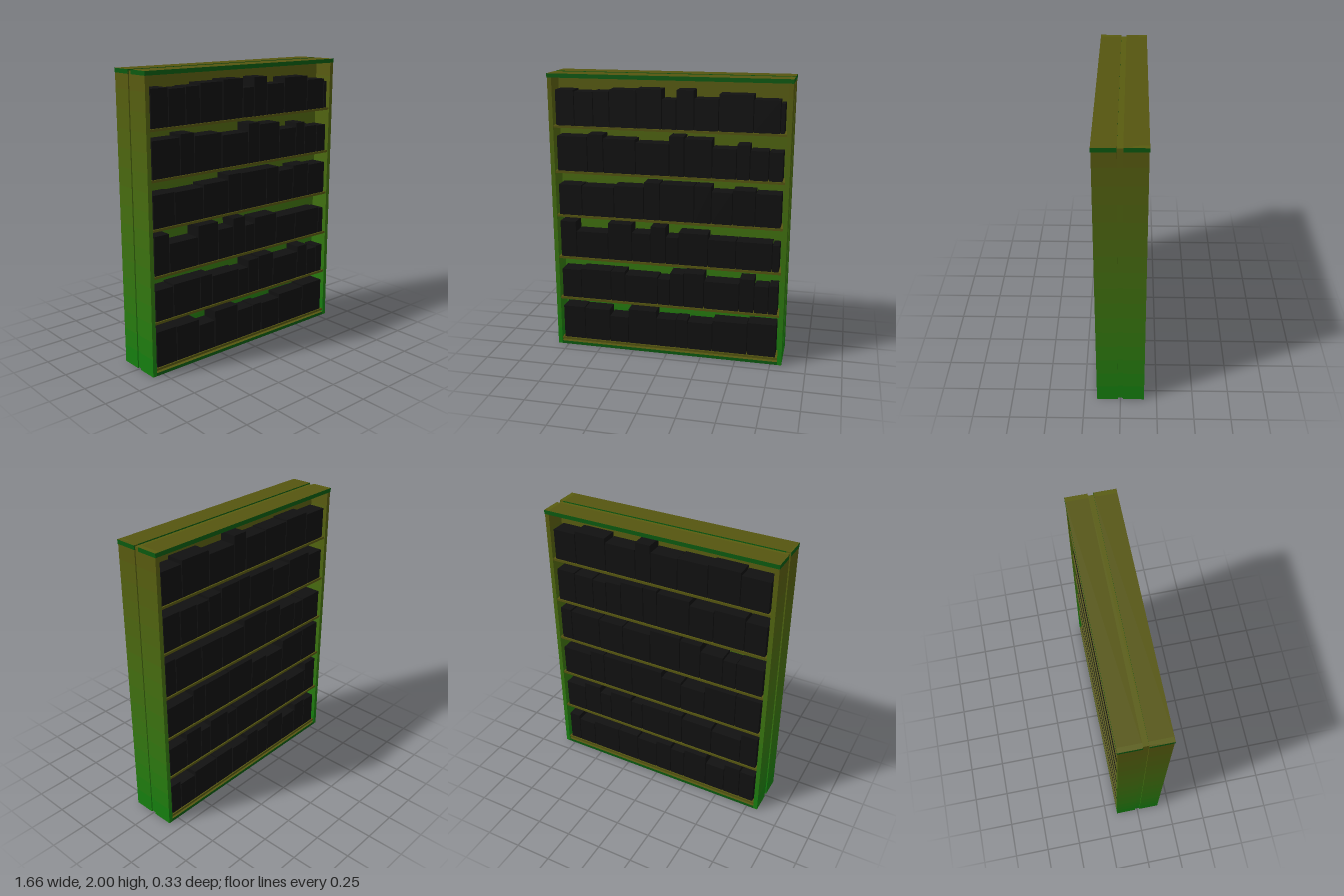
import * as THREE from 'three';

const OLIVE = new THREE.Color(0x5a5a10);
const GREEN = new THREE.Color(0x0f800f);
const mat = (color) => new THREE.MeshStandardMaterial({ color });
const olive = mat(0x555510), green = mat(0x0b5a10), dark = mat(0x111111);
// Material order of a box: +x, -x, +y, -y, +z, -z
const boardMats = [olive, olive, olive, green, olive, olive];
const rimMats = [green, green, olive, green, green, green];

// Shelf levels (top surface), lowest first
const LEVELS = [0.05, 0.375, 0.69, 1.005, 1.325, 1.645];

// Book rows, lowest first: block edges along x and block top heights
const ROWS = [
  [[-.785, -.62, -.43, -.29, -.08, .065, .15, .33, .58, .785],
    [.30, .295, .25, .315, .265, .27, .26, .285, .295]],
  [[-.785, -.64, -.415, -.31, -.07, .02, .12, .265, .515, .62, .72, .785],
    [.59, .60, .60, .58, .57, .62, .63, .58, .62, .575, .585]],
  [[-.785, -.665, -.43, -.255, -.12, -.01, .08, .29, .485, .735, .785],
    [.955, .885, .96, .90, .955, .885, .925, .89, .89, .88]],
  [[-.785, -.615, -.38, -.165, -.05, .19, .31, .455, .61, .785],
    [1.225, 1.22, 1.235, 1.27, 1.265, 1.265, 1.23, 1.25, 1.235]],
  [[-.785, -.565, -.45, -.22, .015, .12, .31, .475, .565, .69, .785],
    [1.57, 1.59, 1.565, 1.545, 1.60, 1.585, 1.53, 1.56, 1.525, 1.52]],
  [[-.785, -.65, -.515, -.40, -.21, -.035, .065, .185, .35, .58, .755, .785],
    [1.89, 1.88, 1.885, 1.90, 1.91, 1.845, 1.91, 1.855, 1.89, 1.86, 1.84]],
];

// Box given by its limits on each axis
function box(parent, name, [x0, x1], [y0, y1], [z0, z1], material) {
  const mesh = new THREE.Mesh(new THREE.BoxGeometry(x1 - x0, y1 - y0, z1 - z0), material);
  mesh.position.set((x0 + x1) / 2, (y0 + y1) / 2, (z0 + z1) / 2);
  mesh.name = name;
  parent.add(mesh);
}

// Upright panel in stacked slices, fading from green at the foot to olive at the top
function fadingPanel(parent, name, xs, zs, y0 = 0, y1 = 2, slices = 16) {
  const panel = new THREE.Group();
  panel.name = name;
  const h = (y1 - y0) / slices;
  for (let i = 0; i < slices; i++) {
    const y = y0 + i * h;
    const color = GREEN.clone().lerp(OLIVE, (y + h / 2) / 2);
    box(panel, name + 'Slice', xs, [y, y + h], zs, mat(color));
  }
  parent.add(panel);
}

// One open-fronted half of the bookcase, facing +z
function bookcaseHalf(name, rows) {
  const half = new THREE.Group();
  half.name = name;
  fadingPanel(half, 'leftSide', [0.80, 0.83], [0.018, 0.163]);
  fadingPanel(half, 'rightSide', [-0.83, -0.80], [0.018, 0.163]);
  fadingPanel(half, 'backPanel', [-0.80, 0.80], [0.018, 0.026], 0.03, 1.97);
  box(half, 'topBoard', [-0.832, 0.832], [1.972, 2], [0.018, 0.166], rimMats);
  box(half, 'baseBoard', [-0.80, 0.80], [0, 0.022], [0.018, 0.163], rimMats);

  LEVELS.forEach((y, i) => {
    box(half, 'shelf', [-0.80, 0.80], [y - 0.016, y], [0.026, 0.157], boardMats);
    const [edges, tops] = rows[i];
    const books = new THREE.Group();
    books.name = 'bookRow';
    tops.forEach((top, k) =>
      box(books, 'books', [edges[k] + 0.003, edges[k + 1] - 0.003], [y, top], [0.03, 0.148], dark));
    half.add(books);
  });
  return half;
}

// Different book rows for the rear half
function rearRows() {
  let seed = 11;
  const rnd = () => (seed = (seed * 16807) % 2147483647) / 2147483647;
  return LEVELS.map((y) => {
    const edges = [-0.785], tops = [];
    while (edges[edges.length - 1] < 0.785) {
      const next = edges[edges.length - 1] + 0.09 + rnd() * 0.15;
      edges.push(next > 0.74 ? 0.785 : next);
      tops.push(y + 0.2 + rnd() * 0.07);
    }
    return [edges, tops];
  });
}

export function createModel() {
  const model = new THREE.Group();
  model.name = 'doubleSidedBookcase';
  model.add(bookcaseHalf('frontHalf', ROWS));
  const rear = bookcaseHalf('rearHalf', rearRows());
  rear.rotation.y = Math.PI;
  model.add(rear);
  // Slightly recessed core between the two halves
  fadingPanel(model, 'centreDivider', [-0.822, 0.822], [-0.018, 0.018], 0.004, 1.992);
  return model;
}
